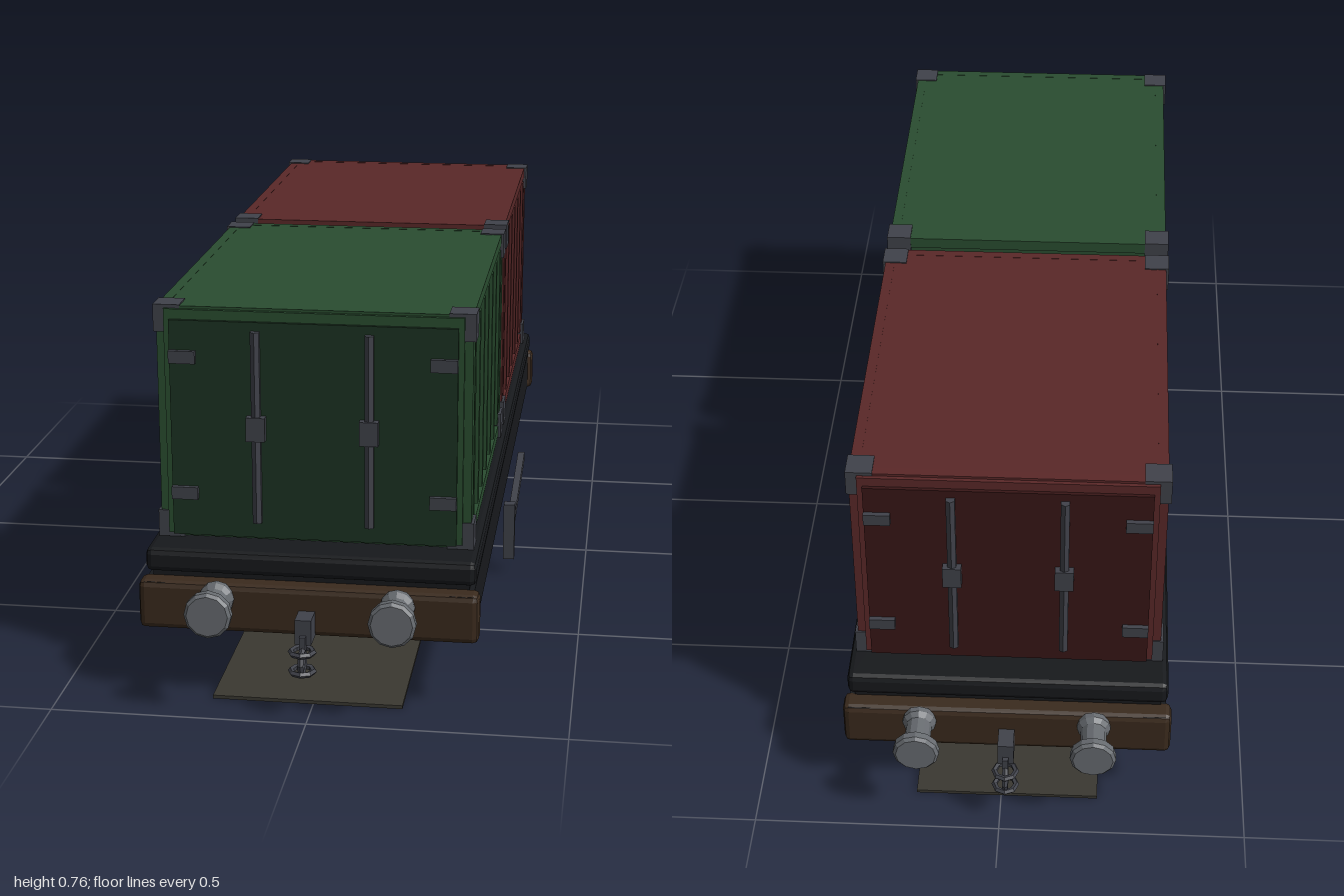
import * as THREE from 'three';
import { RoundedBoxGeometry } from 'three/addons/geometries/RoundedBoxGeometry.js';

const mat = (color) => new THREE.MeshStandardMaterial({ color, flatShading: true });
const M = {
  green: mat(0x2a4d30), greenDoor: mat(0x1c3322),
  red: mat(0x5a2828), redDoor: mat(0x381616),
  steel: mat(0x40424a), black: mat(0x17191c), brown: mat(0x3a2a1d),
  buffer: mat(0x676b70), wheel: mat(0x2b2e33), bed: mat(0x3a3831),
};
const CX = -0.012; // wagon centreline; the brake lever sticks out on one side

function add(parent, name, geometry, material, x = 0, y = 0, z = 0) {
  const mesh = new THREE.Mesh(geometry, material);
  mesh.name = name;
  mesh.position.set(x, y, z);
  parent.add(mesh);
  return mesh;
}
const box = (p, name, m, w, h, d, x, y, z) =>
  add(p, name, new THREE.BoxGeometry(w, h, d), m, x, y, z);
const bevelBox = (p, name, m, w, h, d, x, y, z, r = 0.012) =>
  add(p, name, new RoundedBoxGeometry(w, h, d, 1, r), m, x, y, z);
function group(parent, name, x = 0, y = 0, z = 0) {
  const g = new THREE.Group();
  g.name = name;
  g.position.set(x, y, z);
  parent.add(g);
  return g;
}

// Container with its doors towards +z
function container(parent, name, body, door) {
  const g = group(parent, name);
  const zc = 0.41, hl = 0.388, yc = 0.53;
  bevelBox(g, 'containerBody', body, 0.59, 0.465, 0.76, 0, yc, zc, 0.008);
  for (const s of [-1, 1]) {
    for (const y of [0.308, 0.751]) {
      box(g, 'sideRail', body, 0.02, 0.024, 0.7, s * 0.296, y, zc);
      box(g, 'endRail', body, 0.53, 0.024, 0.02, 0, y, zc + s * 0.377);
    }
    // Side ribs
    for (let i = -3; i <= 3; i++)
      box(g, 'sideRib', body, 0.022, 0.4, 0.024, s * 0.295, yc, zc + i * 0.106);
    // Corner posts and castings
    for (const e of [-1, 1]) {
      box(g, 'cornerPost', body, 0.035, 0.4, 0.035, s * 0.289, yc, zc + e * 0.367);
      for (const y of [0.32, 0.738])
        box(g, 'cornerCasting', M.steel, 0.052, 0.054, 0.054, s * 0.286, y, zc + e * (hl - 0.027));
    }
    // Door hardware
    for (const y of [0.392, 0.667])
      box(g, 'hinge', M.steel, 0.052, 0.025, 0.014, s * 0.253, y, 0.815);
    add(g, 'lockRod', new THREE.CylinderGeometry(0.01, 0.01, 0.385, 6), M.steel, s * 0.11, 0.529, 0.817);
    box(g, 'lockBox', M.steel, 0.037, 0.048, 0.022, s * 0.11, 0.529, 0.818);
    box(g, 'doorPost', body, 0.012, 0.455, 0.022, s * 0.284, 0.531, 0.794);
  }
  box(g, 'doorHeader', body, 0.57, 0.02, 0.022, 0, 0.748, 0.794);
  box(g, 'door', door, 0.558, 0.435, 0.03, 0, 0.521, 0.797);
  return g;
}

// Ten-sided spoked wheel, axis along x, outer face towards +x
function wheel(parent, side, z) {
  const g = group(parent, 'wheel', side * 0.2, 0.2, z);
  g.rotation.y = side > 0 ? 0 : Math.PI;
  const ringShape = new THREE.Shape();
  const hole = new THREE.Path();
  for (let i = 0; i < 10; i++) {
    const a = ((i * 36) * Math.PI) / 180, f = i ? 'lineTo' : 'moveTo';
    ringShape[f](0.165 * Math.cos(a), 0.165 * Math.sin(a));
    hole[f](0.135 * Math.cos(-a), 0.135 * Math.sin(-a));
  }
  ringShape.holes.push(hole);
  const rim = new THREE.ExtrudeGeometry(ringShape, { depth: 0.037, bevelEnabled: false });
  rim.rotateY(Math.PI / 2);
  add(g, 'wheelRim', rim, M.wheel, 0.002);
  const flange = new THREE.CylinderGeometry(0.2, 0.2, 0.01, 10);
  flange.rotateZ(Math.PI / 2);
  flange.rotateX(Math.PI / 2);
  add(g, 'wheelFlange', flange, M.wheel, -0.014);
  add(g, 'wheelHub', new THREE.CylinderGeometry(0.035, 0.035, 0.05, 10).rotateZ(Math.PI / 2), M.wheel, 0.014);
  for (let i = 0; i < 10; i++) {
    const spoke = new THREE.BoxGeometry(0.018, 0.115, 0.014);
    spoke.translate(0, 0.085, 0);
    spoke.rotateX(((i * 36 + 18) * Math.PI) / 180);
    add(g, 'spoke', spoke, M.steel, 0.018);
  }
}

// Headstock, buffers and coupling at the +z end
function wagonEnd(parent, name) {
  const g = group(parent, name);
  bevelBox(g, 'headstock', M.brown, 0.664, 0.099, 0.05, 0, 0.188, 0.88);
  for (const s of [-1, 1]) {
    const profile = [[0, 0], [0.034, 0], [0.034, 0.012], [0.026, 0.022], [0.026, 0.062],
      [0.03, 0.074], [0.046, 0.08], [0.046, 0.094], [0.04, 0.1], [0, 0.1]]
      .map(([r, h]) => new THREE.Vector2(r, h));
    add(g, 'buffer', new THREE.LatheGeometry(profile, 12).rotateX(Math.PI / 2), M.buffer, s * 0.176, 0.21, 0.9);
  }
  box(g, 'drawHook', M.steel, 0.032, 0.05, 0.055, 0, 0.167, 0.925);
  const ring = () => new THREE.TorusGeometry(0.022, 0.006, 5, 8);
  add(g, 'couplingLink', ring().rotateY(Math.PI / 2), M.steel, 0, 0.112, 0.962);
  for (const y of [0.132, 0.093])
    add(g, 'couplingShackle', ring().rotateX(Math.PI / 2), M.steel, 0, y, 0.962);
  box(g, 'couplingBar', M.steel, 0.012, 0.03, 0.03, 0, 0.146, 0.947);
  return g;
}

export function createModel() {
  const model = new THREE.Group();
  model.name = 'containerWagon';
  const wagon = group(model, 'wagon', CX);

  // Ground plate
  box(wagon, 'groundPlate', M.bed, 0.374, 0.007, 1.82, 0, 0.0035, 0);

  // Deck and underframe
  bevelBox(wagon, 'deck', M.black, 0.648, 0.048, 1.745, 0, 0.268, 0);
  for (const s of [-1, 1])
    box(wagon, 'solebar', M.black, 0.045, 0.09, 1.8, s * 0.298, 0.19, 0);
  for (const z of [-0.845, -0.22, 0.22, 0.845])
    box(wagon, 'crossBearer', M.black, 0.62, 0.075, 0.04, 0, 0.215, z);

  // Wheelsets
  for (const z of [-0.532, 0.532]) {
    const set = group(wagon, 'wheelset');
    for (const s of [-1, 1]) wheel(set, s, z);
    add(set, 'axle', new THREE.CylinderGeometry(0.02, 0.02, 0.5, 8).rotateZ(Math.PI / 2), M.steel, 0, 0.2, z);
  }

  // Ends and containers; the rear ones are turned about
  wagonEnd(wagon, 'frontEnd');
  wagonEnd(wagon, 'rearEnd').rotation.y = Math.PI;
  container(wagon, 'frontContainer', M.green, M.greenDoor);
  container(wagon, 'rearContainer', M.red, M.redDoor).rotation.y = Math.PI;

  // Brake lever on the left side
  const brake = group(model, 'brakeLever');
  box(brake, 'leverHandle', M.steel, 0.025, 0.13, 0.024, 0.329, 0.099, 0.157);
  const rod = box(brake, 'leverRod', M.steel, 0.016, 0.022, 0.43, 0.329, 0.113, -0.056);
  rod.rotation.x = Math.atan2(0.045, 0.427);
  return model;
}
